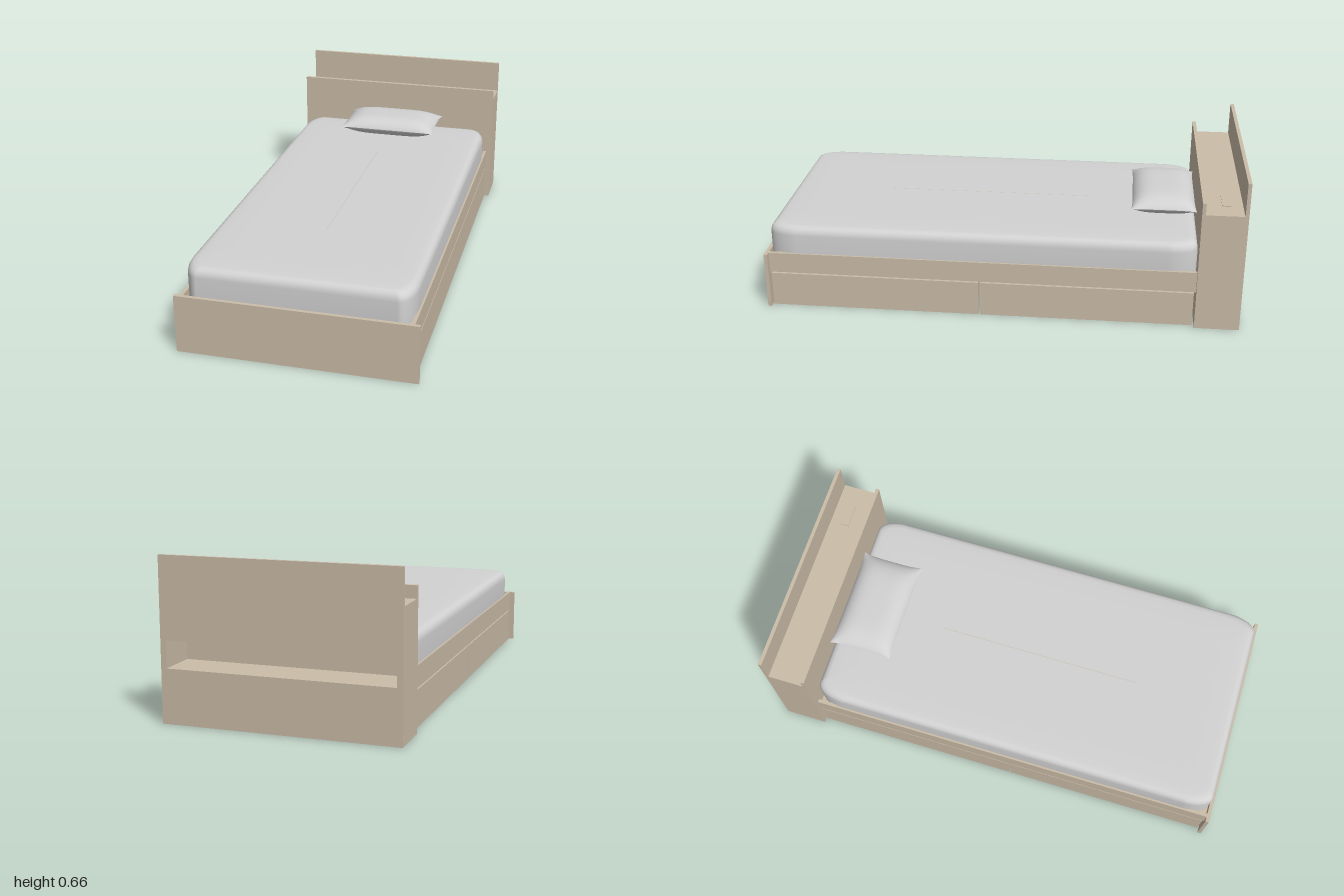
import * as THREE from 'three';

export function createModel() {
  const bed = new THREE.Group();
  bed.name = 'bed';
  const wood = new THREE.MeshStandardMaterial({ color: 0xcabca7 });
  wood.name = 'paleWood';
  const fabric = new THREE.MeshStandardMaterial({ color: 0xd2d2d2 });
  fabric.name = 'lightGreyFabric';

  function add(name, geometry, material = wood, parent = bed) {
    const mesh = new THREE.Mesh(geometry, material);
    mesh.name = name;
    parent.add(mesh);
    return mesh;
  }
  // Board given by its extents along each axis
  function board(name, [x0, x1], [y0, y1], [z0, z1], parent = bed) {
    const mesh = add(name, new THREE.BoxGeometry(x1 - x0, y1 - y0, z1 - z0), wood, parent);
    mesh.position.set((x0 + x1) / 2, (y0 + y1) / 2, (z0 + z1) / 2);
    return mesh;
  }

  const W = 0.483, T = 0.015;      // half width of the end boards, board thickness
  const headZ = -0.815, footZ = 0.985;

  // Headboard: slotted back panel, front panel, sides and shelves
  const head = new THREE.Group();
  head.name = 'headboard';
  bed.add(head);
  const back = new THREE.Shape([[-W, 0], [W, 0], [W, 0.658], [-W, 0.658]].map(p => new THREE.Vector2(...p)));
  back.holes.push(new THREE.Path([[-0.46, 0.22], [-0.46, 0.33], [0.46, 0.33], [0.46, 0.22]].map(p => new THREE.Vector2(...p))));
  add('headboardBack', new THREE.ExtrudeGeometry(back, { depth: T, bevelEnabled: false }), wood, head).position.z = -1;
  board('headboardFront', [-W, W], [0, 0.565], [headZ - T, headZ], head);
  const inside = [-1 + T, headZ - T];
  for (const s of [-1, 1]) {
    board('headboardSide', s < 0 ? [-W, -0.46] : [0.46, W], [0, 0.515], inside, head);
  }
  board('headboardBase', [-0.46, 0.46], [0, T], inside, head);
  board('nicheFloor', [-0.46, 0.46], [0.205, 0.22], inside, head);
  board('nicheCeiling', [-0.46, 0.46], [0.33, 0.345], inside, head);
  board('headboardShelf', [-0.46, 0.46], [0.5, 0.515], inside, head);
  board('socketPlate', [0.29, 0.39], [0.515, 0.519], [-0.935, -0.9], head);

  // Footboard, rails and mattress platform
  board('footboard', [-W, W], [0, 0.245], [footZ, 1]);
  board('platform', [-0.447, 0.447], [0.175, 0.19], [headZ, footZ]);
  for (const s of [-1, 1]) {
    board('sideRail', s < 0 ? [-0.462, -0.447] : [0.447, 0.462], [0.156, 0.245], [headZ, footZ]);
  }
  board('centreBeam', [-0.006, 0.006], [0.01, 0.175], [headZ, footZ]);

  // Four under-bed drawers
  for (const s of [-1, 1]) {
    for (const [z0, z1] of [[-0.807, 0.084], [0.09, 0.979]]) {
      const drawer = new THREE.Group();
      drawer.name = 'drawer';
      bed.add(drawer);
      const across = (a, b) => s > 0 ? [a, b] : [-b, -a];
      board('drawerFront', across(0.447, 0.462), [0, 0.15], [z0, z1], drawer);
      board('drawerInnerEnd', across(0.018, 0.03), [0.003, 0.13], [z0 + 0.02, z1 - 0.02], drawer);
      board('drawerSide', across(0.03, 0.447), [0.003, 0.13], [z0 + 0.02, z0 + 0.032], drawer);
      board('drawerSide', across(0.03, 0.447), [0.003, 0.13], [z1 - 0.032, z1 - 0.02], drawer);
      board('drawerBottom', across(0.03, 0.447), [0.022, 0.03], [z0 + 0.032, z1 - 0.032], drawer);
    }
  }

  // Mattress: rounded outline rings, drawn in towards a slightly domed top
  const rings = [[0.453, 0], [0.006, 0.19], [0, 0.21], [0, 0.325], [0.003, 0.342], [0.01, 0.354],
    [0.02, 0.361], [0.035, 0.364], [0.08, 0.366], [0.16, 0.367], [0.3, 0.368], [0.453, 0.368]];
  rings[0][1] = 0.19;
  const hx = 0.454, hz = 0.899, cornerSteps = 10;
  const points = [], faces = [];
  const count = 4 * (cornerSteps + 1);
  for (const [inset, y] of rings) {
    const rx = Math.max(0.06 - inset * 0.15, 0), rz = Math.max(0.12 - inset * 0.3, 0);
    const w = Math.max(hx - inset, 0.0005), d = hz - inset;
    const cx = Math.min(rx, w);
    for (let q = 0; q < 4; q++) {
      const sx = q === 0 || q === 3 ? 1 : -1, sz = q < 2 ? 1 : -1;
      for (let i = 0; i <= cornerSteps; i++) {
        const a = (q + i / cornerSteps) * Math.PI / 2;
        points.push(sx * (w - cx) + cx * Math.cos(a), y, sz * (d - rz) + rz * Math.sin(a) + 0.085);
      }
    }
  }
  for (let r = 0; r < rings.length - 1; r++) {
    for (let i = 0; i < count; i++) {
      const a = r * count + i, b = r * count + (i + 1) % count;
      faces.push(a, a + count, b, b, a + count, b + count);
    }
  }
  const mattress = new THREE.BufferGeometry();
  mattress.setAttribute('position', new THREE.Float32BufferAttribute(points, 3));
  mattress.setIndex(faces);
  mattress.computeVertexNormals();
  add('mattress', mattress, fabric);

  // Pillow: two puffed sheets meeting at a seam with pointed corners
  const pillow = new THREE.Group();
  pillow.name = 'pillow';
  pillow.position.set(0.002, 0.413, -0.675);
  bed.add(pillow);
  for (const s of [1, -1]) {
    const sheet = new THREE.PlaneGeometry(2, 2, 36, 28);
    sheet.rotateX(-s * Math.PI / 2);
    const p = sheet.attributes.position;
    for (let i = 0; i < p.count; i++) {
      const u = Math.sin(p.getX(i) * Math.PI / 2), v = Math.sin(p.getZ(i) * Math.PI / 2);
      const puff = Math.pow(Math.max(0, (1 - Math.abs(u) ** 5) * (1 - Math.abs(v) ** 4)), 0.8);
      p.setXYZ(i, u * (0.23 - 0.01 * (1 - v ** 4)), s * 0.046 * puff, v * (0.139 - 0.006 * (1 - u ** 6)));
    }
    sheet.computeVertexNormals();
    add(s > 0 ? 'pillowTop' : 'pillowUnderside', sheet, fabric, pillow);
  }
  return bed;
}
